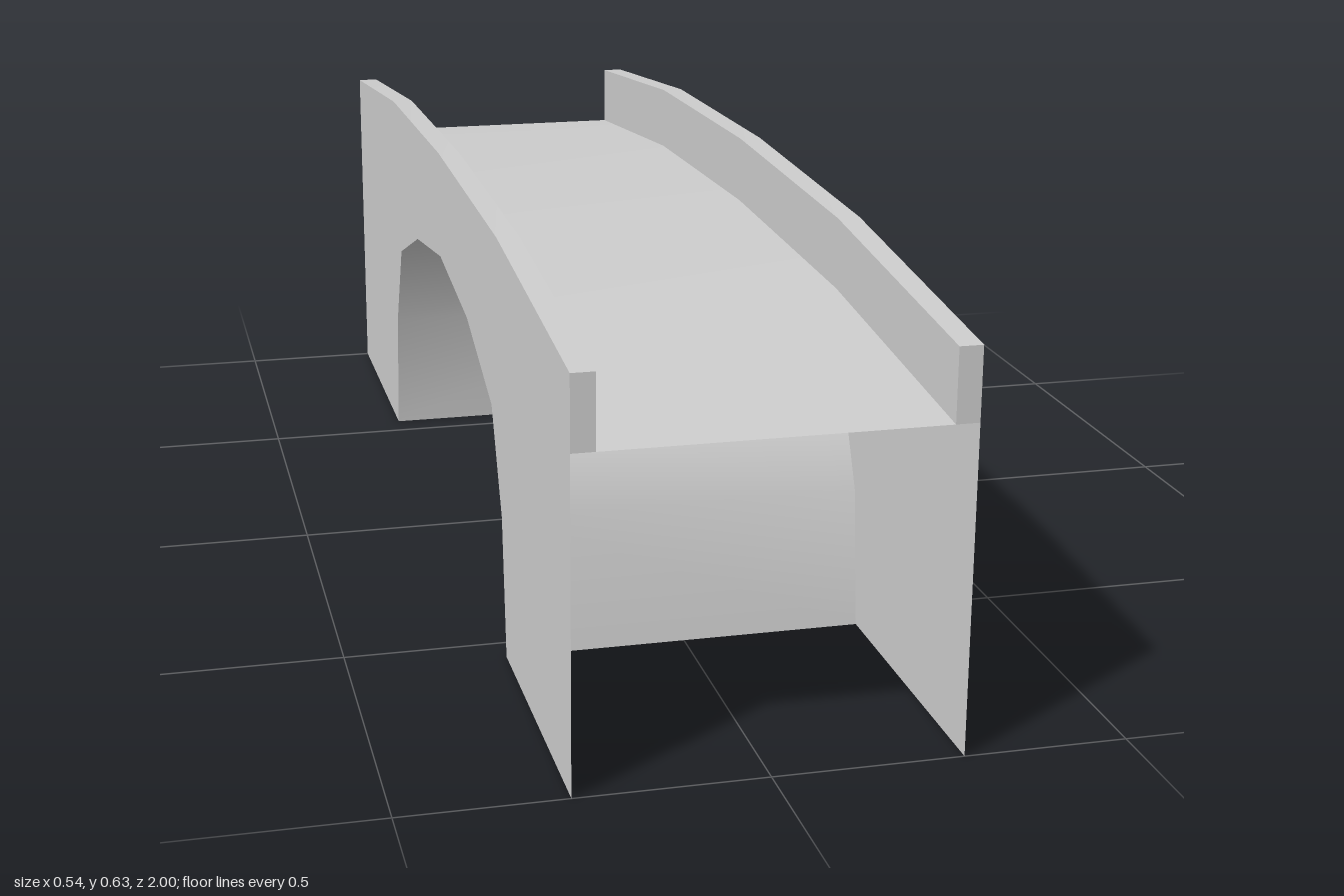
import * as THREE from 'three';

const HALF = 0.268;   // outer half width
const INNER = 0.235;  // inner face of the parapets

// Half profiles as [z, y], from the middle of the span outwards
const deckHalf = [[0, 0.531], [0.51, 0.517], [1, 0.469]];
const railHalf = [[0, 0.635], [0.51, 0.622], [1, 0.573]];
const archHalf = [[0, 0.464], [0.25, 0.431], [0.455, 0.357], [0.527, 0.208], [0.551, 0]];

// Full profile from -z to +z
const mirror = (half) => [
  ...half.slice(1).reverse().map(([z, y]) => [-z, y]),
  ...half,
];

// Smooth ribbon following a [z, y] path between two x positions
function strip(path, x0, x1) {
  const positions = [], index = [];
  path.forEach(([z, y], i) => {
    positions.push(x0, y, z, x1, y, z);
    if (i === 0) return;
    const a = 2 * i - 2, b = a + 1, c = a + 2, d = a + 3;
    index.push(a, c, b, b, c, d);
  });
  const geometry = new THREE.BufferGeometry();
  geometry.setAttribute('position', new THREE.Float32BufferAttribute(positions, 3));
  geometry.setIndex(index);
  geometry.computeVertexNormals();
  return geometry;
}

// Flat upright sheet with a [z, y] outline, facing +x or -x
function sheet(outline, x, facing) {
  const shape = new THREE.Shape(outline.map(([z, y]) => new THREE.Vector2(z, y)));
  return new THREE.ShapeGeometry(shape).rotateY(facing * Math.PI / 2).translate(x, 0, 0);
}

export function createModel() {
  const model = new THREE.Group();
  model.name = 'archBridge';
  const stone = new THREE.MeshStandardMaterial({ color: 0xcccccc, side: THREE.DoubleSide });
  stone.name = 'light grey stone';

  const add = (name, geometry, parent = model) => {
    const mesh = new THREE.Mesh(geometry, stone);
    mesh.name = name;
    parent.add(mesh);
  };

  const deck = mirror(deckHalf), rail = mirror(railHalf), arch = mirror(archHalf);

  // Roadway and tunnel vault; the ends between them stay open
  add('deck', strip(deck, -HALF, HALF));
  add('archVault', strip([...arch].reverse(), -HALF, HALF));

  // Side walls with the arch cut out
  const wall = [[-1, 0], ...arch, [1, 0], ...[...rail].reverse()];
  const parapetFace = [...deck, ...[...rail].reverse()];
  for (const [label, s] of [['left', 1], ['right', -1]]) {
    add(label + 'Wall', sheet(wall, s * HALF, s));

    // Parapet: inner face, top and end caps
    const parapet = new THREE.Group();
    parapet.name = label + 'Parapet';
    model.add(parapet);
    const x0 = Math.min(s * INNER, s * HALF), x1 = Math.max(s * INNER, s * HALF);
    add('parapetInnerFace', sheet(parapetFace, s * INNER, -s), parapet);
    add('parapetTop', strip(rail, x0, x1), parapet);
    add('parapetBackEnd', strip([[-1, 0.469], [-1, 0.573]], x0, x1), parapet);
    add('parapetFrontEnd', strip([[1, 0.573], [1, 0.469]], x0, x1), parapet);
  }
  return model;
}
